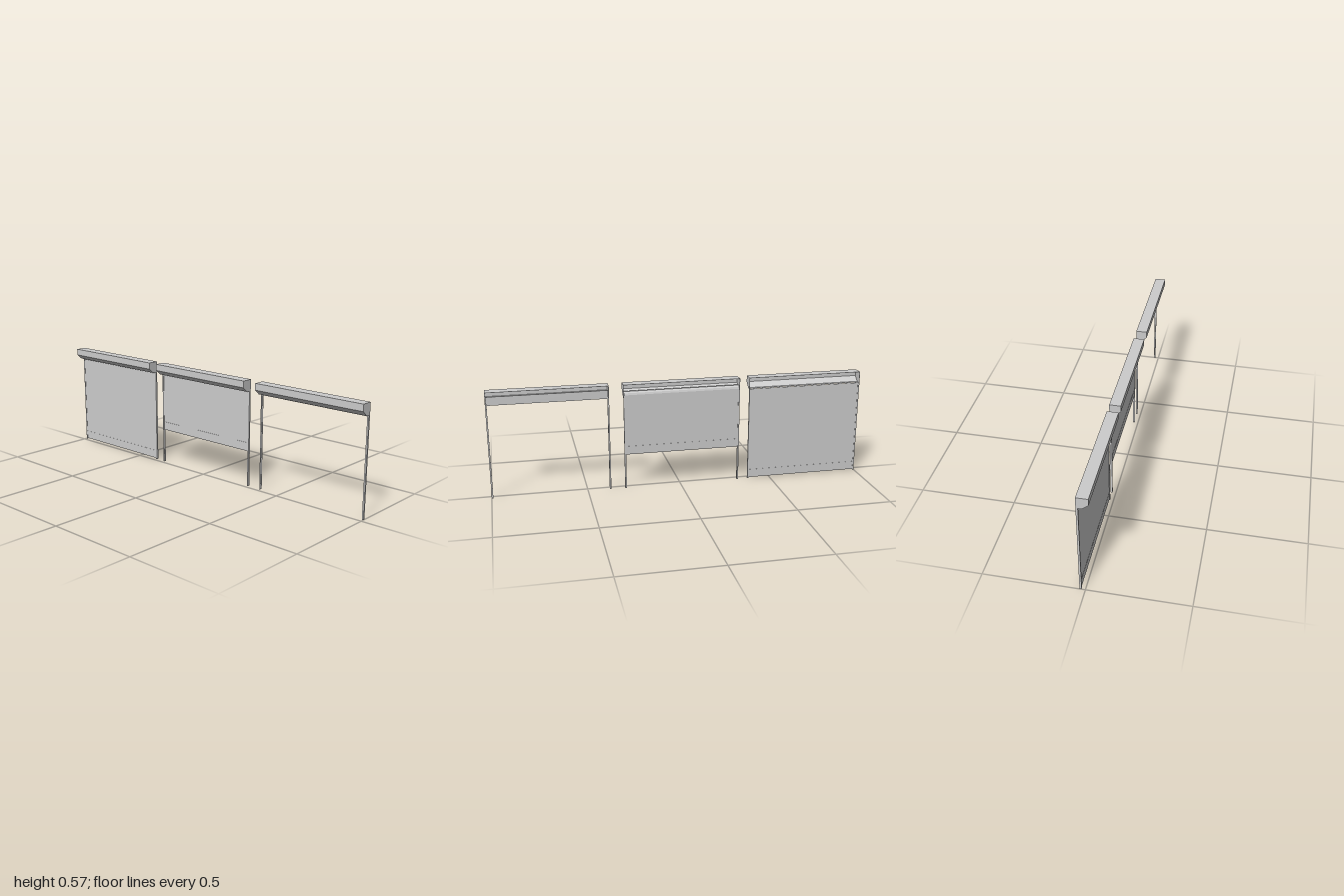
import * as THREE from 'three';

const LENGTH = 0.624;              // length of one shutter along z
const TOP = 0.568, FLOOR = 0.507;  // housing heights
const BACK = -0.03, FRONT = 0.028; // housing depth
const SHEET = 0.0012;              // sheet metal thickness
const CURTAIN_X = 0.023;

const material = new THREE.MeshStandardMaterial({ color: 0xcccccc, flatShading: true, side: THREE.DoubleSide });

function addMesh(parent, name, geometry) {
  const mesh = new THREE.Mesh(geometry, material);
  mesh.name = name;
  parent.add(mesh);
  return mesh;
}

// Extrude an x-y outline along z, centred on z = 0
function extrudeZ(points, length) {
  const shape = new THREE.Shape(points.map(([x, y]) => new THREE.Vector2(x, y)));
  return new THREE.ExtrudeGeometry(shape, { depth: length, bevelEnabled: false }).translate(0, 0, -length / 2);
}

function box(x0, x1, y0, y1, z0, z1) {
  return new THREE.BoxGeometry(x1 - x0, y1 - y0, z1 - z0)
    .translate((x0 + x1) / 2, (y0 + y1) / 2, (z0 + z1) / 2);
}

// Housing: bent sheet open towards +x, closed by two end caps
function addHousing(parent) {
  const t = SHEET;
  addMesh(parent, 'housingShell', extrudeZ([
    [FRONT, TOP], [BACK, TOP], [BACK, 0.533], [0, FLOOR], [0.018, FLOOR],
    [0.018, FLOOR + t], [0.0005, FLOOR + t], [BACK + t, 0.5335], [BACK + t, TOP - t], [FRONT, TOP - t],
  ], LENGTH));
  for (const side of [-1, 1]) {
    const cap = addMesh(parent, 'housingEndCap', extrudeZ([
      [FRONT, TOP], [BACK, TOP], [BACK, 0.533], [0, FLOOR], [FRONT, FLOOR],
    ], t));
    cap.position.z = side * (LENGTH - t) / 2;
  }
}

// Guide rail: channel whose open side faces the curtain
function addGuideRails(parent) {
  const t = 0.0015, depth = 0.008, x0 = 0.018;
  for (const side of [-1, 1]) {
    const rail = new THREE.Group();
    rail.name = 'guideRail';
    const outer = side * LENGTH / 2;
    const span = (d) => (side > 0 ? [outer - d, outer] : [outer, outer + d]);
    addMesh(rail, 'railWeb', box(x0, FRONT, 0, FLOOR, ...span(t)));
    addMesh(rail, 'railBackFlange', box(x0, x0 + t, 0, FLOOR, ...span(depth)));
    addMesh(rail, 'railFrontFlange', box(FRONT - t, FRONT, 0, FLOOR, ...span(depth)));
    parent.add(rail);
  }
}

// Curtain: thin sheet, optionally bending back into the housing
function addCurtain(parent, bottom, bends) {
  const h = 0.001, width = LENGTH - 0.006;
  const outline = bends
    ? [[CURTAIN_X + h, bottom], [CURTAIN_X + h, 0.512], [0.021, 0.522], [0.014, 0.53], [0.004, 0.53],
      [0.004, 0.528], [0.013, 0.528], [0.019, 0.521], [CURTAIN_X - h, 0.511], [CURTAIN_X - h, bottom]]
    : [[CURTAIN_X + h, bottom], [CURTAIN_X + h, FLOOR], [CURTAIN_X - h, FLOOR], [CURTAIN_X - h, bottom]];
  addMesh(parent, 'curtain', extrudeZ(outline, width));
}

function addBottomBar(parent, bottom) {
  const half = LENGTH / 2 - 0.004;
  addMesh(parent, 'bottomBar', box(CURTAIN_X - 0.002, CURTAIN_X + 0.002, bottom, bottom + 0.045, -half, half));
}

export function createModel() {
  const model = new THREE.Group();
  model.name = 'rollerShutters';
  // Open, half open and closed shutters in a row
  const shutters = [
    { name: 'openShutter', z: 0.688, bottom: 0.5 },
    { name: 'halfOpenShutter', z: -0.011, bottom: 0.188, curtain: true, bends: true },
    { name: 'closedShutter', z: -0.688, bottom: 0.004, curtain: true },
  ];
  for (const { name, z, bottom, curtain, bends } of shutters) {
    const shutter = new THREE.Group();
    shutter.name = name;
    shutter.position.z = z;
    addHousing(shutter);
    addGuideRails(shutter);
    if (curtain) addCurtain(shutter, bottom, bends);
    addBottomBar(shutter, bottom);
    model.add(shutter);
  }
  return model;
}
